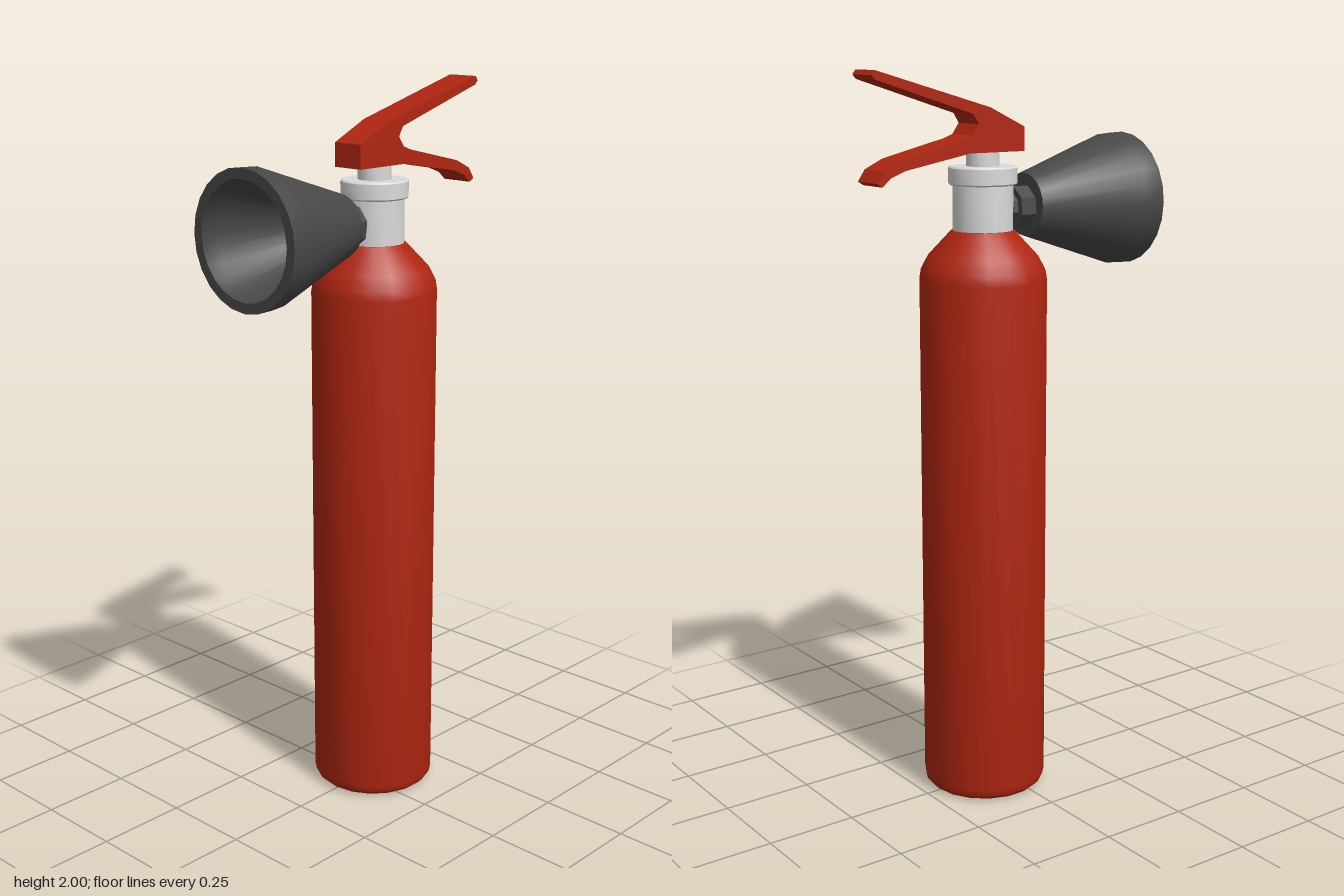
import * as THREE from 'three';
import { toCreasedNormals } from 'three/addons/utils/BufferGeometryUtils.js';

const AXIS_X = 0.053; // bottle axis
const HORN_Y = 1.64; // nozzle axis height

const mat = (name, color) => Object.assign(new THREE.MeshStandardMaterial({ color }), { name });

// Revolved solid; profile is [radius, height] from bottom to top
function turned(profile, sides, phase = Math.PI / 2, crease = 0.62) {
  const points = profile.map(([r, y]) => new THREE.Vector2(r, y));
  return toCreasedNormals(new THREE.LatheGeometry(points, sides, phase), crease);
}

export function createModel() {
  const red = mat('red paint', 0xb02611);
  const silver = mat('pale metal', 0xdadada);
  const black = mat('black plastic', 0x484848);

  const model = new THREE.Group();
  model.name = 'fireExtinguisher';
  const add = (name, geometry, material, x, y) => {
    const mesh = new THREE.Mesh(geometry, material);
    mesh.name = name;
    mesh.position.set(x, y, 0);
    model.add(mesh);
  };

  // Bottle with rounded foot and sloping shoulder
  add('bottle', turned([
    [0, 0], [0.142, 0], [0.157, 0.004], [0.168, 0.015], [0.172, 0.035],
    [0.172, 1.45], [0.168, 1.475], [0.148, 1.513], [0.085, 1.58], [0, 1.58],
  ], 18), red, AXIS_X, 0);

  // Neck, collar and valve stem
  add('neck', turned([[0, 1.57], [0.081, 1.57], [0.081, 1.71], [0, 1.71]], 18), silver, AXIS_X, 0);
  add('collar', turned([
    [0, 1.7], [0.088, 1.7], [0.092, 1.704], [0.092, 1.745], [0.088, 1.749], [0, 1.749],
  ], 18), silver, AXIS_X, 0);
  add('valveStem', turned([[0, 1.74], [0.045, 1.74], [0.045, 1.79], [0, 1.79]], 16), silver, AXIS_X, 0);

  // Forked squeeze handle, cut from one side outline
  const outline = [
    [-0.05, 1.786], [0.125, 1.786], [0.325, 1.75], [0.368, 1.734], [0.394, 1.712], [0.41, 1.722],
    [0.389, 1.752], [0.336, 1.777], [0.145, 1.822], [0.118, 1.832], [0.098, 1.86], [0.114, 1.886],
    [0.41, 1.977], [0.42, 1.988], [0.411, 2], [0.06, 1.902], [-0.05, 1.85],
  ].map(([x, y]) => new THREE.Vector2(x, y));
  const handle = new THREE.ExtrudeGeometry(new THREE.Shape(outline), { depth: 0.092, bevelEnabled: false });
  handle.translate(0, 0, -0.046);
  add('handle', handle, red, 0, 0);

  // Hollow discharge horn pointing to -x
  const horn = turned([
    [0, 0.083], [0.085, 0.083], [0.181, 0.375], [0.183, 0.425],
    [0.155, 0.425], [0.15, 0.375], [0.065, 0.12], [0, 0.12],
  ], 24);
  add('horn', horn.rotateZ(Math.PI / 2), black, 0, HORN_Y);

  // Faceted nut and its tapered inlet
  const nut = turned([
    [0, 0.01], [0.036, 0.01], [0.042, 0.036], [0.059, 0.036], [0.059, 0.088], [0, 0.088],
  ], 8, 0.28, 0.3);
  add('hornNut', nut.rotateZ(Math.PI / 2), black, 0, HORN_Y - 0.005);

  return model;
}
